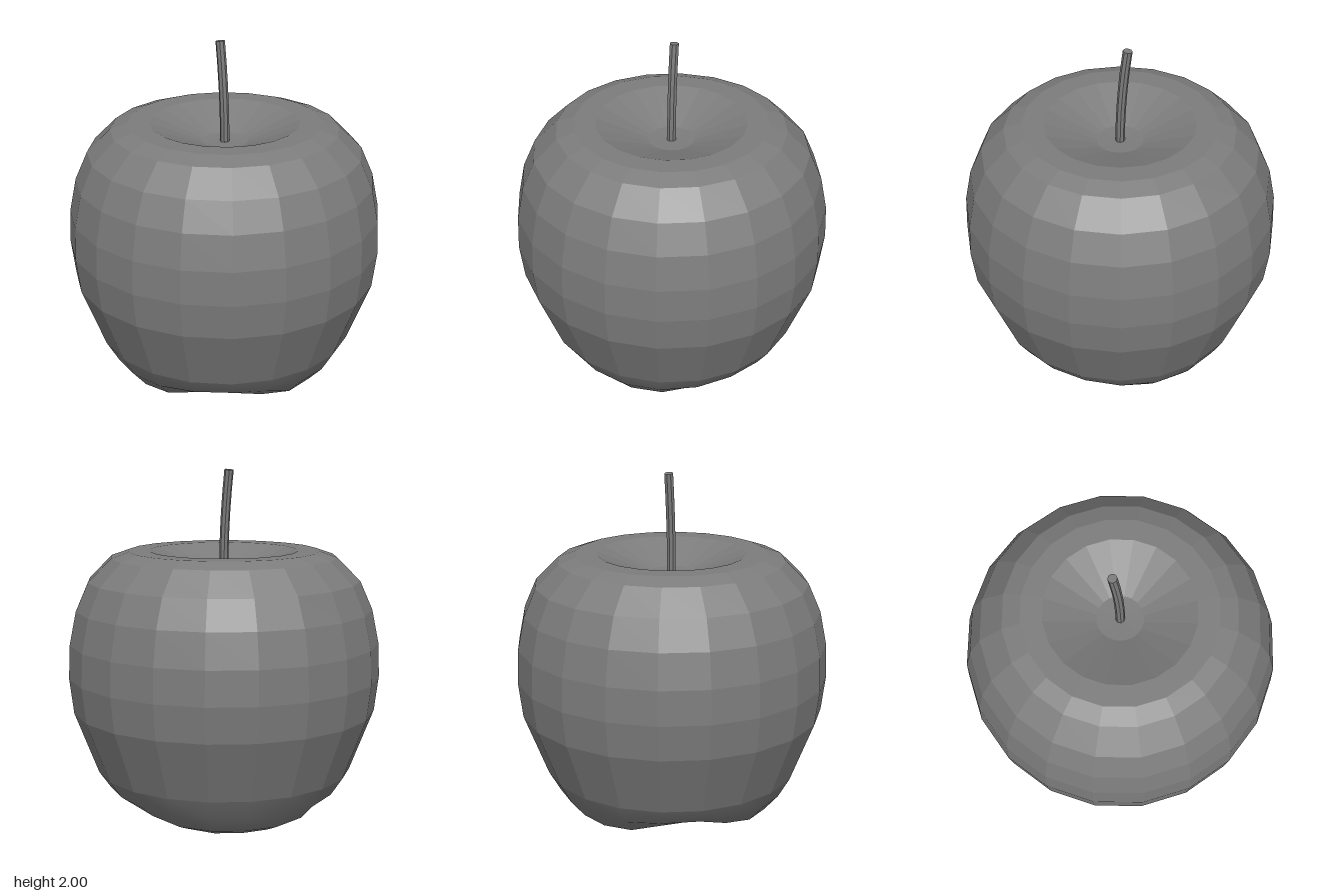
import * as THREE from 'three';
import { mergeVertices } from 'three/addons/utils/BufferGeometryUtils.js';

const rad = THREE.MathUtils.degToRad;

// hollows between the lobes at the base: direction from +x towards +z, and width
const HOLLOWS = [[40, 25], [148, 25], [-62, 31]];

function hollowAmount(angle) {
  let sum = 0;
  for (const [direction, width] of HOLLOWS) {
    const a = angle - rad(direction);
    const d = Math.atan2(Math.sin(a), Math.cos(a));
    sum += Math.exp(-Math.pow(d / rad(width), 2));
  }
  return Math.min(sum, 1);
}

function turned(rings) {
  return new THREE.LatheGeometry(rings.map(([r, y]) => new THREE.Vector2(r, y)), 20);
}

export function createModel() {
  const group = new THREE.Group();
  const flat = new THREE.MeshStandardMaterial({ color: 0x7c7c7c, flatShading: true });
  const smooth = new THREE.MeshStandardMaterial({ color: 0x7c7c7c });

  const add = (name, geometry, material) => {
    const mesh = new THREE.Mesh(geometry, material);
    mesh.name = name;
    group.add(mesh);
  };

  // Fruit body: faceted, with a dimple around the stem
  add('fruitBody', turned([
    [0.725, 0.29], [0.86, 0.64], [0.885, 0.84], [0.878, 1.03], [0.84, 1.22],
    [0.77, 1.38], [0.64, 1.51], [0.54, 1.545], [0.42, 1.545], [0.13, 1.435], [0, 1.43],
  ]), flat);

  // Fruit base: smooth lobes; each ring is radius, height, lift inside a hollow
  const rings = [
    [0, 0.14, 0], [0.27, 0.005, 0.13], [0.48, 0.035, 0.13],
    [0.58, 0.08, 0.09], [0.66, 0.175, 0.025], [0.725, 0.29, 0],
  ];
  const lathe = turned(rings);
  const pos = lathe.attributes.position;
  for (let i = 0; i < pos.count; i++) {
    const amount = hollowAmount(Math.atan2(pos.getZ(i), pos.getX(i)));
    pos.setY(i, pos.getY(i) + rings[i % rings.length][2] * amount);
  }
  lathe.deleteAttribute('uv');
  lathe.deleteAttribute('normal');
  const base = mergeVertices(lathe);
  base.computeVertexNormals();
  add('fruitBase', base, smooth);

  // Stem: a cylinder bent towards -x
  const bottom = 1.41, height = 0.587;
  const stem = new THREE.CylinderGeometry(0.026, 0.026, height, 8, 5);
  stem.translate(0, height / 2, 0);
  const p = stem.attributes.position;
  for (let i = 0; i < p.count; i++) {
    const t = p.getY(i) / height;
    const x = p.getX(i);
    p.setXYZ(i, x - 0.04 * t * t, bottom + p.getY(i) + x * 0.13 * t, p.getZ(i));
  }
  add('stem', stem, flat);

  return group;
}
